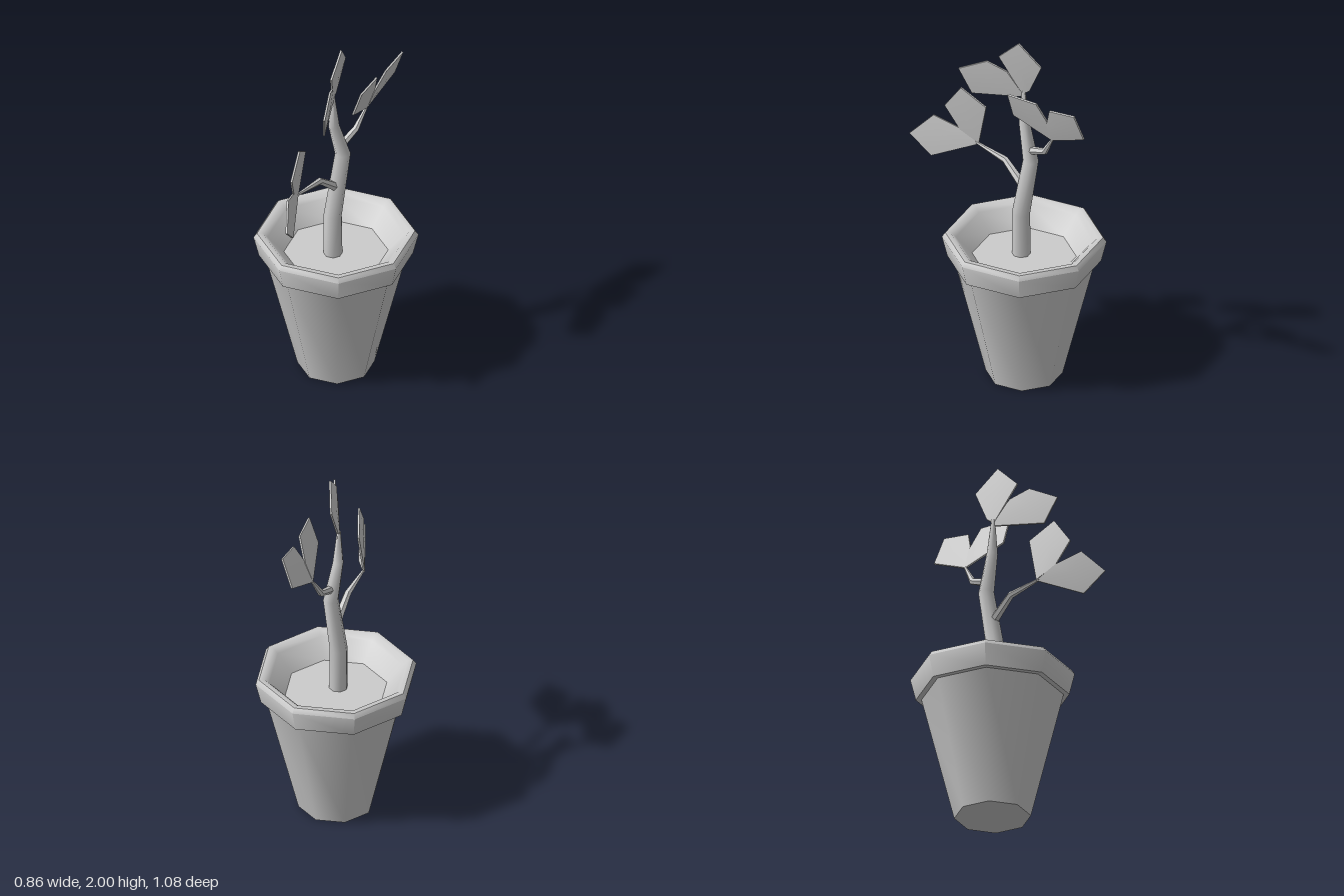
import * as THREE from 'three';
import { toCreasedNormals } from 'three/addons/utils/BufferGeometryUtils.js';

const V = (x, y, z) => new THREE.Vector3(x, y, z);
const material = new THREE.MeshStandardMaterial({ color: 0xcccccc });

function addMesh(parent, geometry, name, crease = 0.95) {
  const mesh = new THREE.Mesh(toCreasedNormals(geometry, crease), material);
  mesh.name = name;
  parent.add(mesh);
  return mesh;
}

function fromTriangles(positions, indices) {
  const geometry = new THREE.BufferGeometry();
  geometry.setAttribute('position', new THREE.Float32BufferAttribute(positions, 3));
  geometry.setIndex(indices);
  return geometry;
}

// Tapered limb: rings along a list of [x, y, z, radius], closed at both ends
function limb(stations, sides = 8) {
  const points = stations.map(([x, y, z]) => V(x, y, z));
  const positions = [], indices = [];
  points.forEach((p, i) => {
    const next = points[Math.min(i + 1, points.length - 1)];
    const tangent = next.clone().sub(points[Math.max(i - 1, 0)]).normalize();
    const u = V(1, 0, 0).addScaledVector(tangent, -tangent.x).normalize();
    const v = tangent.clone().cross(u);
    for (let k = 0; k < sides; k++) {
      const angle = (k / sides) * Math.PI * 2;
      const q = p.clone()
        .addScaledVector(u, Math.cos(angle) * stations[i][3])
        .addScaledVector(v, Math.sin(angle) * stations[i][3]);
      positions.push(q.x, q.y, q.z);
      if (i === 0) continue;
      const a = (i - 1) * sides + k, b = (i - 1) * sides + (k + 1) % sides;
      indices.push(a, b, b + sides, a, b + sides, a + sides);
    }
  });
  const last = (points.length - 1) * sides;
  for (let k = 1; k < sides - 1; k++) {
    indices.push(0, k + 1, k, last, last + k, last + k + 1);
  }
  return fromTriangles(positions, indices);
}

// Thin five-cornered leaf, slightly thicker in the middle.
// Corners are [z, y]; the leaf plane leans in x by leanY and leanZ from its base.
function leaf(base, leanY, leanZ, corners) {
  const points = corners.map(([z, y]) =>
    V(base.x + leanY * (y - base.y) + leanZ * (z - base.z), y, z));
  const n = points.length;
  const centre = V(0, 0, 0);
  points.forEach((p) => centre.addScaledVector(p, 1 / n));
  const normal = V(1, -leanY, -leanZ).normalize();
  const area = corners.reduce((sum, [z, y], i) => {
    const [z2, y2] = corners[(i + 1) % n];
    return sum + y * z2 - y2 * z;
  }, 0);
  if (area < 0) points.reverse();

  const positions = [], indices = [];
  for (const side of [1, -1]) {
    points.forEach((p) => positions.push(...p.clone().addScaledVector(normal, side * 0.005).toArray()));
    positions.push(...centre.clone().addScaledVector(normal, side * 0.011).toArray());
  }
  const m = n + 1;
  for (let k = 0; k < n; k++) {
    const j = (k + 1) % n;
    indices.push(n, k, j, m + n, m + j, m + k);
    indices.push(k, m + k, m + j, k, m + j, j);
  }
  return fromTriangles(positions, indices);
}

export function createModel() {
  const model = new THREE.Group();
  model.name = 'pottedPlant';

  // Eight-sided pot with a thick rim and a hollow top
  const profile = [
    [0, 0], [0.2, 0], [0.37, 0.685], [0.4, 0.685], [0.428, 0.8], [0.41, 0.825],
    [0.382, 0.825], [0.355, 0.8], [0.27, 0.705],
  ].map(([r, y]) => new THREE.Vector2(r, y));
  const pot = new THREE.Group();
  pot.name = 'pot';
  pot.position.z = -0.085;
  model.add(pot);
  addMesh(pot, new THREE.LatheGeometry(profile, 8), 'potShell');

  // Soil
  const soil = addMesh(pot, new THREE.CircleGeometry(0.272, 8), 'soil');
  soil.rotation.x = -Math.PI / 2;
  soil.position.y = 0.706;

  // Trunk and two branches
  addMesh(model, limb([
    [0, 0.69, -0.062, 0.049], [0, 0.95, -0.06, 0.047], [0, 1.3, -0.136, 0.041],
    [-0.008, 1.5, -0.078, 0.029], [-0.008, 1.69, -0.07, 0.01],
  ]), 'trunk');
  addMesh(model, limb([
    [0, 1.11, -0.09, 0.026], [0.012, 1.225, 0.05, 0.019], [0.036, 1.25, 0.25, 0.007],
  ], 6), 'frontBranch');
  addMesh(model, limb([
    [0, 1.355, -0.12, 0.022], [-0.005, 1.4, -0.24, 0.018], [0.005, 1.515, -0.315, 0.007],
  ], 6), 'backBranch');

  // Leaves, two at the end of each limb
  const frontTip = V(0.035, 1.25, 0.245);
  const backTip = V(0.005, 1.505, -0.31);
  const topTip = V(-0.008, 1.675, -0.07);
  const leaves = [
    ['frontUpperLeaf', frontTip, 0.11, 0.5,
      [[0.235, 1.25], [0.325, 1.315], [0.39, 1.45], [0.298, 1.585], [0.18, 1.49]]],
    ['frontLowerLeaf', frontTip, -0.14, 0.69,
      [[0.235, 1.245], [0.325, 1.32], [0.447, 1.375], [0.542, 1.255], [0.436, 1.145]]],
    ['backOuterLeaf', backTip, 0.39, 0.25,
      [[-0.31, 1.505], [-0.316, 1.62], [-0.375, 1.74], [-0.534, 1.765], [-0.539, 1.605]]],
    ['backInnerLeaf', backTip, 0.35, 0.28,
      [[-0.31, 1.505], [-0.327, 1.62], [-0.29, 1.75], [-0.12, 1.75], [-0.11, 1.605]]],
    ['topLeaf', topTip, 0.16, 0.47,
      [[-0.065, 1.67], [0.03, 1.885], [-0.085, 2.0], [-0.185, 1.87], [-0.105, 1.7]]],
    ['topFrontLeaf', topTip, 0.1, 0.68,
      [[-0.075, 1.655], [0.16, 1.635], [0.21, 1.78], [0.08, 1.85], [-0.005, 1.8]]],
  ];
  for (const [name, base, leanY, leanZ, corners] of leaves) {
    addMesh(model, leaf(base, leanY, leanZ, corners), name);
  }
  return model;
}
